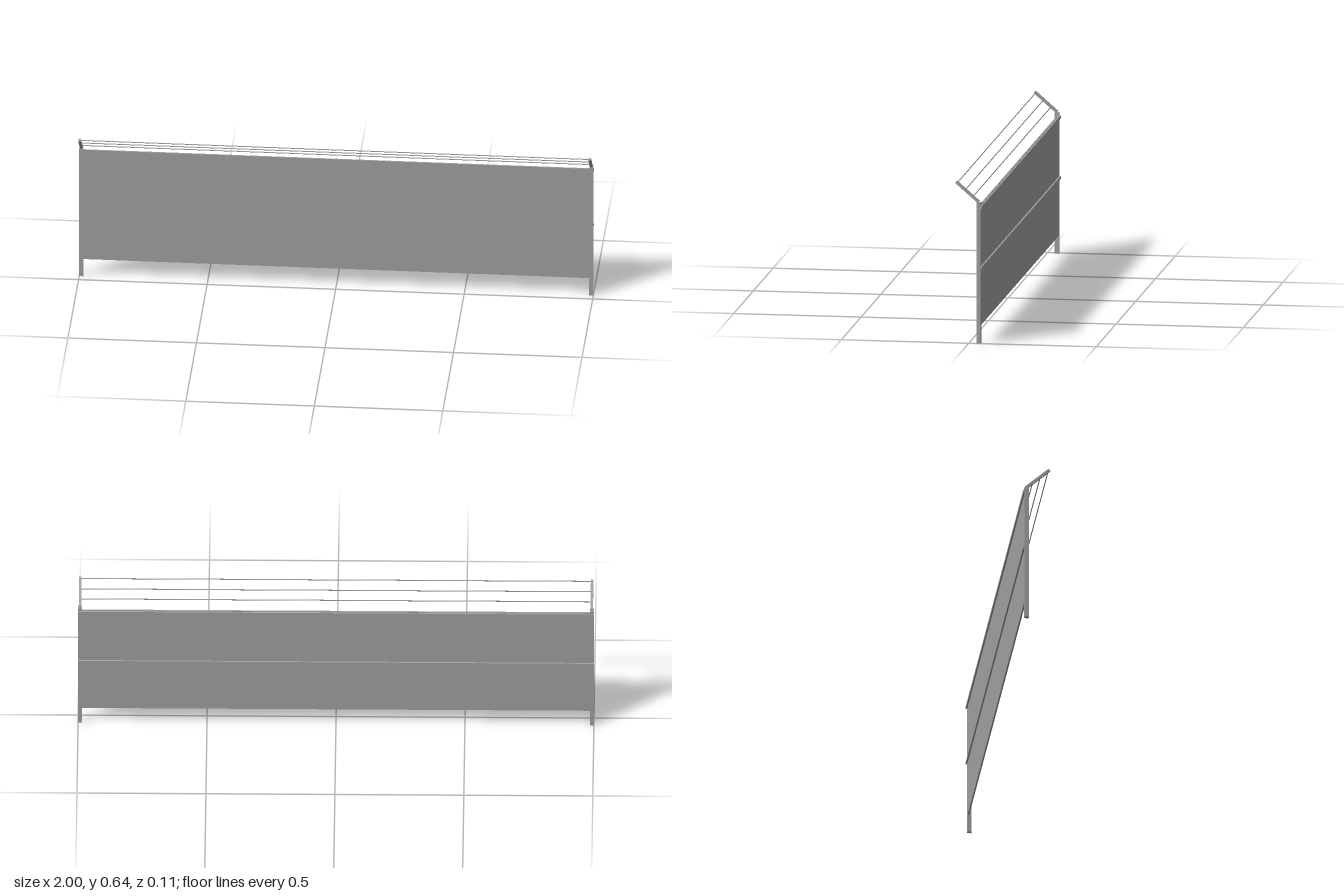
import * as THREE from 'three';

export function createModel() {
  const group = new THREE.Group();
  const steel = new THREE.MeshStandardMaterial({ color: 0xa3a3a3 });
  steel.name = 'grey steel';

  function add(name, geometry, x, y, z) {
    const mesh = new THREE.Mesh(geometry, steel);
    mesh.name = name;
    mesh.position.set(x, y, z);
    group.add(mesh);
    return mesh;
  }
  const box = (name, w, h, d, x, y, z) => add(name, new THREE.BoxGeometry(w, h, d), x, y, z);

  // Infill sheet between the posts
  box('panel', 1.968, 0.475, 0.006, 0, 0.3075, -0.043);

  // Horizontal rails on the back
  box('topRail', 2, 0.012, 0.006, 0, 0.536, -0.049);
  box('middleRail', 2, 0.01, 0.006, 0, 0.298, -0.049);

  // Overhang line from post top to tip
  const base = new THREE.Vector2(-0.039, 0.556);
  const tip = new THREE.Vector2(0.0505, 0.634);
  const slope = Math.atan2(tip.y - base.y, tip.x - base.x);
  const middle = base.clone().lerp(tip, 0.5);

  // Posts with arms leaning forward
  for (const side of [1, -1]) {
    const name = side > 0 ? 'left' : 'right';
    box(name + 'Post', 0.016, 0.555, 0.017, side * 0.992, 0.2775, -0.0385);
    const arm = box(name + 'Arm', 0.01, 0.011, base.distanceTo(tip), side * 0.992, middle.y, middle.x);
    arm.rotation.x = -slope;
  }

  // Three wires strung between the arms
  for (const z of [0.046, 0.015, -0.015]) {
    const y = base.y + (z - base.x) * Math.tan(slope);
    const wire = add('wire', new THREE.CylinderGeometry(0.002, 0.002, 1.984, 8), 0, y, z);
    wire.rotation.z = Math.PI / 2;
  }

  return group;
}
